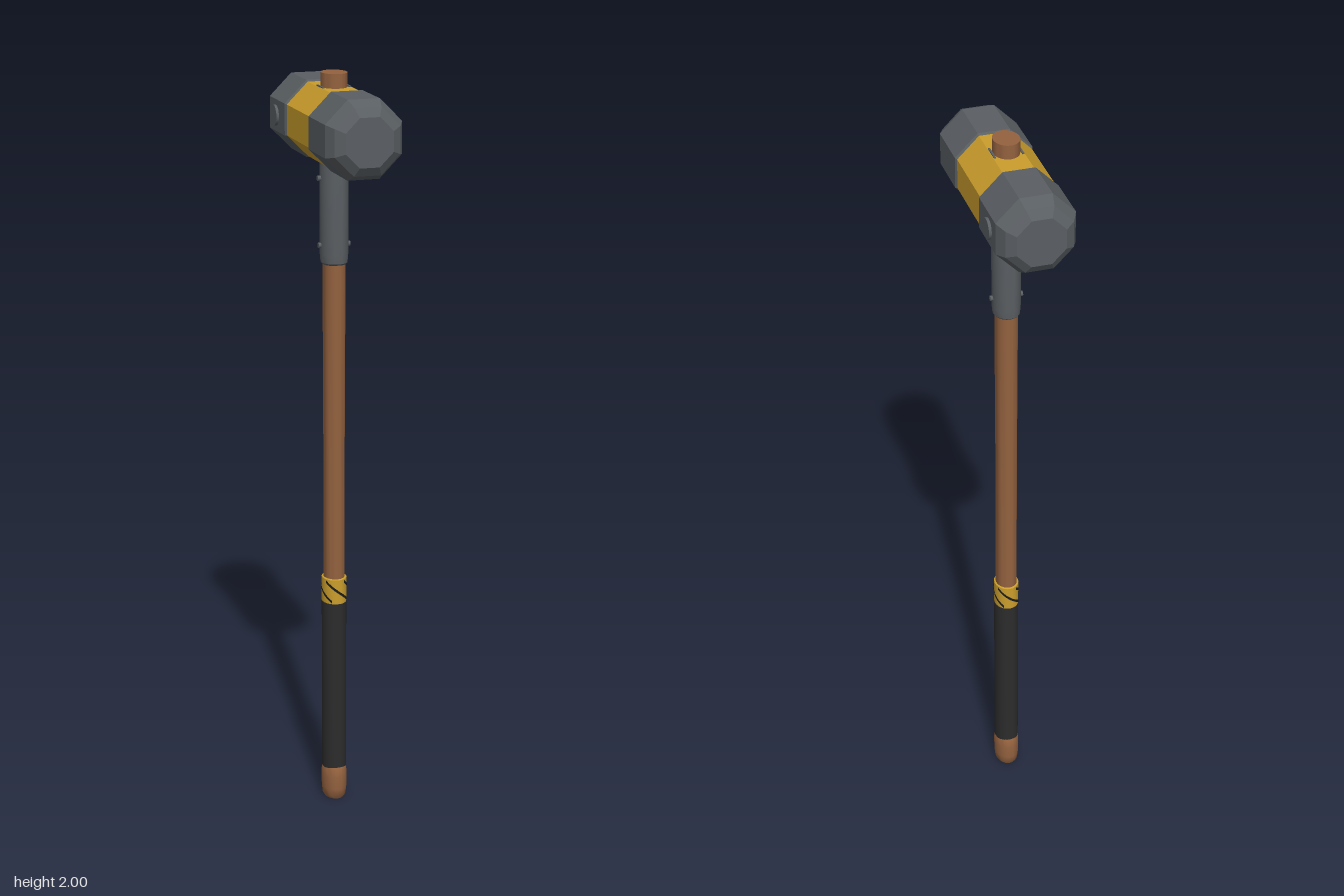
import * as THREE from 'three';
import { toCreasedNormals } from 'three/addons/utils/BufferGeometryUtils.js';

const HEAD_Y = 1.867;

export function createModel() {
  const group = new THREE.Group();
  group.name = 'sledgehammer';

  const material = (name, color, side = THREE.FrontSide) => {
    const m = new THREE.MeshStandardMaterial({ color, side });
    m.name = name;
    return m;
  };
  const steel = material('steel', 0x5a5f63);
  const gold = material('gold', 0xcb9e2c);
  const wood = material('wood', 0x94623f);
  const rubber = material('rubber', 0x2c2c2c);
  const stripePaint = material('stripePaint', 0x1c1c1c, THREE.DoubleSide);

  function add(name, geometry, mat) {
    const mesh = new THREE.Mesh(geometry, mat);
    mesh.name = name;
    group.add(mesh);
    return mesh;
  }

  // Oval shaft section: profile of [depth radius, height], squashed in x
  function oval(name, mat, profile, squash) {
    const points = profile.map(([r, y]) => new THREE.Vector2(r, y));
    const geo = new THREE.LatheGeometry(points, 24);
    geo.scale(squash, 1, 1);
    add(name, toCreasedNormals(geo, 0.6), mat);
  }

  // Octagonal section of the head along z: profile of [distance to flat, z]
  function octagon(name, mat, profile) {
    const points = profile.map(([r, z]) => new THREE.Vector2(r / Math.cos(Math.PI / 8), z));
    const geo = new THREE.LatheGeometry(points, 8, Math.PI / 8);
    geo.rotateX(Math.PI / 2);
    geo.translate(0, HEAD_Y, 0);
    add(name, toCreasedNormals(geo, 0.05), mat);
  }

  // Handle, knob, grip and band
  oval('handle', wood, [[0.035, 0.08], [0.034, 1.0], [0.036, 1.5], [0.041, 1.76], [0.041, 2], [0, 2]], 0.82);
  oval('knob', wood, [[0, 0], [0.034, 0], [0.04, 0.008], [0.043, 0.03], [0.044, 0.065], [0.042, 0.09], [0.036, 0.1]], 0.77);
  oval('grip', rubber, [[0.034, 0.088], [0.039, 0.09], [0.039, 0.574], [0.034, 0.576]], 0.84);
  oval('band', gold, [[0.034, 0.573], [0.039, 0.575], [0.039, 0.643], [0.034, 0.645]], 0.84);

  // Diagonal stripes winding around the band
  for (let i = 0; i < 4; i++) {
    const steps = 12, positions = [], index = [];
    for (let k = 0; k <= steps; k++) {
      const t = k / steps;
      const a = i * Math.PI / 2 - Math.PI / 3 + t * Math.PI * 2 / 3;
      const y = 0.637 - t * 0.056;
      for (const dy of [-0.004, 0.004]) {
        positions.push(Math.sin(a) * 0.0338, y + dy, Math.cos(a) * 0.0402);
      }
      if (k < steps) index.push(2 * k, 2 * k + 2, 2 * k + 1, 2 * k + 1, 2 * k + 2, 2 * k + 3);
    }
    const geo = new THREE.BufferGeometry();
    geo.setAttribute('position', new THREE.Float32BufferAttribute(positions, 3));
    geo.setIndex(index);
    geo.computeVertexNormals();
    add('bandStripe', geo, stripePaint);
  }

  // Steel collar under the head
  oval('collar', steel, [[0.035, 1.505], [0.04, 1.51], [0.042, 1.53], [0.043, 1.79]], 0.87);

  // Head: gold middle and two steel faces with stepped chamfers
  octagon('headMiddle', gold, [[0.096, -0.1], [0.096, 0.1]]);
  const end = [[0, 0.097], [0.096, 0.097], [0.1, 0.103], [0.1, 0.236], [0.085, 0.268], [0.062, 0.285], [0, 0.285]];
  octagon('headFront', steel, end);
  octagon('headBack', steel, end.map(([r, z]) => [r, -z]).reverse());

  // Side details, mirrored
  for (const s of [-1, 1]) {
    const disc = new THREE.CylinderGeometry(0.027, 0.027, 0.008, 24);
    disc.rotateZ(Math.PI / 2);
    add('sideDisc', disc, steel).position.set(s * 0.103, HEAD_Y, -0.181);

    for (const [y, x] of [[1.73, 0.038], [1.555, 0.036]]) {
      const rivet = new THREE.CylinderGeometry(0.007, 0.007, 0.014, 12);
      rivet.rotateZ(Math.PI / 2);
      add('rivet', rivet, steel).position.set(s * x, y, 0);
    }

    // Wedge plate beside the handle on top of the head
    const wedge = new THREE.BoxGeometry(0.005, 0.008, 0.05);
    add('wedgePlate', wedge, steel).position.set(s * 0.036, HEAD_Y + 0.095, 0);
  }
  return group;
}
